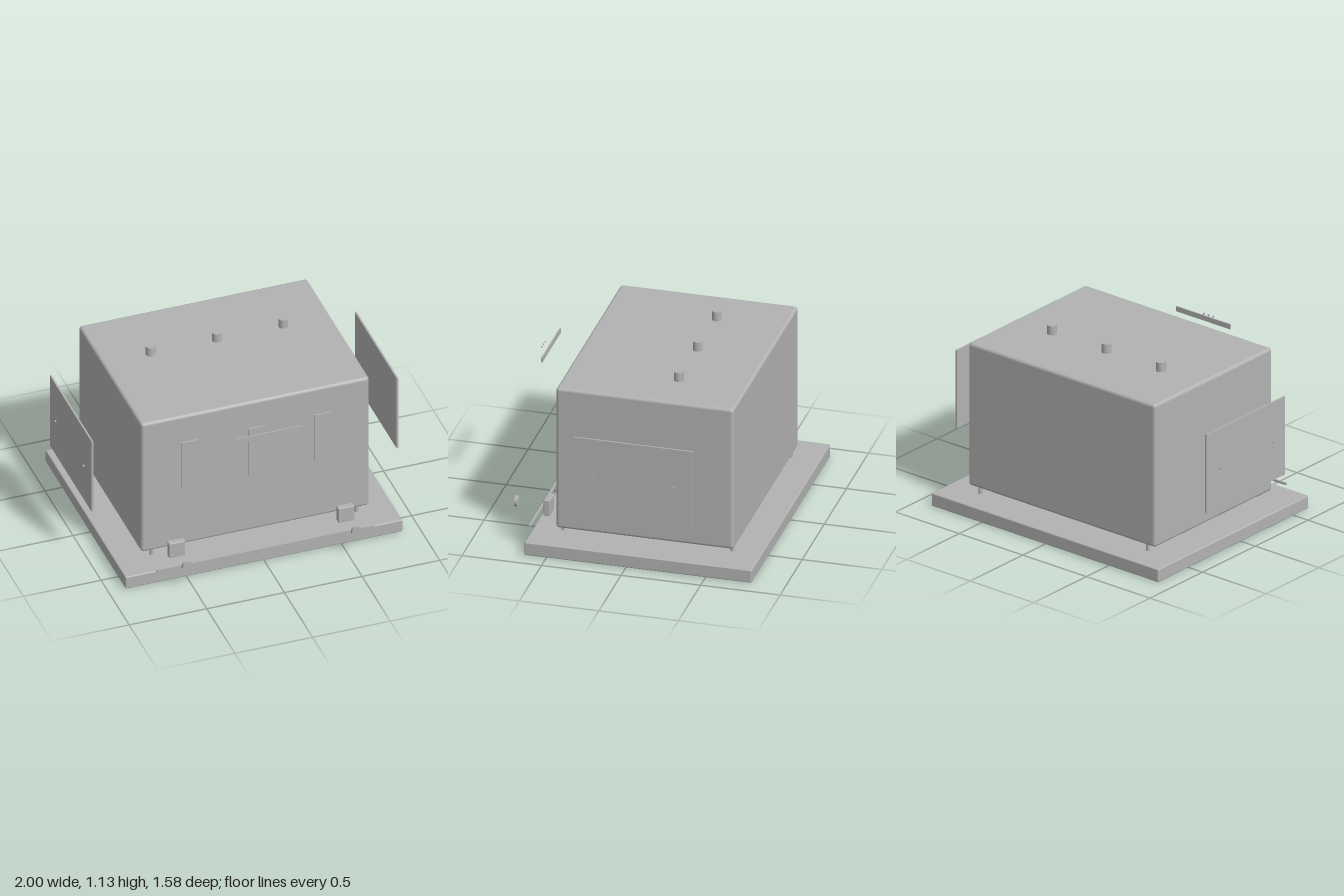
import * as THREE from 'three';
import { RoundedBoxGeometry } from 'three/addons/geometries/RoundedBoxGeometry.js';

export function createModel() {
  const model = new THREE.Group();
  model.name = 'explodedAppliance';
  const grey = new THREE.MeshStandardMaterial({ color: 0xb2b2b2 });
  grey.name = 'plainGrey';

  const add = (name, geometry) => {
    const mesh = new THREE.Mesh(geometry, grey);
    mesh.name = name;
    model.add(mesh);
    return mesh;
  };

  // Box given by its extents, with optionally rounded edges
  const box = (name, [x0, x1], [y0, y1], [z0, z1], radius = 0) => {
    const size = [x1 - x0, y1 - y0, z1 - z0];
    const geometry = radius
      ? new RoundedBoxGeometry(...size, 4, radius)
      : new THREE.BoxGeometry(...size);
    add(name, geometry).position.set((x0 + x1) / 2, (y0 + y1) / 2, (z0 + z1) / 2);
  };

  // Cylinder centred on a point, along the chosen axis
  const rod = (name, radius, length, axis, x, y, z) => {
    const geometry = new THREE.CylinderGeometry(radius, radius, length, 32);
    if (axis === 'x') geometry.rotateZ(Math.PI / 2);
    if (axis === 'z') geometry.rotateX(Math.PI / 2);
    add(name, geometry).position.set(x, y, z);
  };

  // Base tray and main housing
  box('baseTray', [-0.892, 0.892], [0, 0.086], [-0.791, 0.638], 0.008);
  box('housing', [-0.735, 0.735], [0.129, 1.075], [-0.633, 0.483], 0.02);

  // Top knobs, each with a front window plate in line
  for (const x of [-0.428, 0, 0.428]) {
    rod('topKnob', 0.03, 0.065, 'y', x, 1.1025, -0.205);
    box('frontWindow', [x - 0.053, x + 0.053], [0.555, 0.893], [0.494, 0.504]);
  }

  for (const side of [-1, 1]) {
    // Feet between housing and tray
    for (const z of [0.456, -0.606]) rod('foot', 0.012, 0.046, 'y', side * 0.66, 0.108, z);

    // Side panel with two screws
    const panelX = side * 0.982;
    box('sidePanel', [panelX - 0.0055, panelX + 0.0055], [0.37, 0.888], [-0.447, 0.298]);
    for (const z of [0.175, -0.326]) rod('panelScrew', 0.008, 0.008, 'x', side * 0.996, 0.63, z);

    // Front bracket and the dial before it
    const x = side * 0.545;
    box('frontBracket', [x - 0.052, x + 0.052], [0.13, 0.235], [0.559, 0.599], 0.006);
    rod('frontDial', 0.034, 0.021, 'z', x, 0.182, 0.78);
  }

  // Long rail at the foot of the front
  box('frontRail', [-0.7, 0.7], [0.095, 0.108], [0.65, 0.663]);

  // Control strip with three buttons
  box('controlStrip', [-0.213, 0.213], [0.967, 1.0], [0.713, 0.721]);
  for (const x of [-0.036, 0, 0.036]) rod('stripButton', 0.006, 0.005, 'z', x, 0.983, 0.765);

  return model;
}
